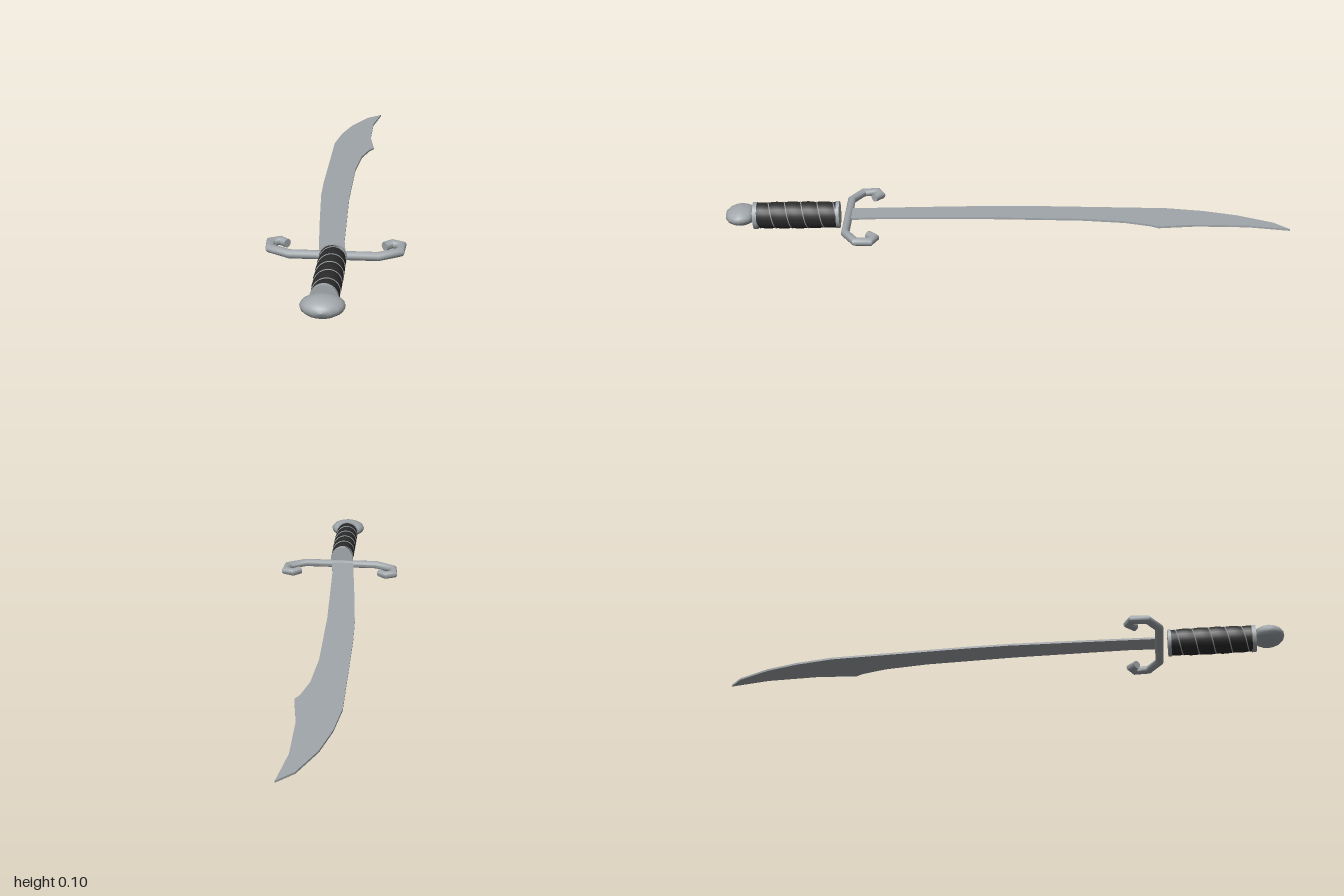
import * as THREE from 'three';
import { toCreasedNormals } from 'three/addons/utils/BufferGeometryUtils.js';

const steel = new THREE.MeshStandardMaterial({ name: 'steel', color: 0xa0a6aa });
const leather = new THREE.MeshStandardMaterial({ name: 'dark leather', color: 0x2b2b2b });

const GRIP_Y = 0.055, GRIP_START = 0.605, GRIP_END = 0.89, TURNS = 5;

function part(group, name, geometry, material) {
  const mesh = new THREE.Mesh(geometry, material);
  mesh.name = name;
  group.add(mesh);
  return mesh;
}

// Thin curved blade that drops slightly towards the tip
function bladeGeometry() {
  const outline = [
    [-0.048, 0.56], [-0.07, 0.3], [-0.09, 0.04], [-0.094, -0.1], [-0.094, -0.58],
    [-0.075, -0.71], [-0.042, -0.83], [0.016, -0.95], [0.069, -1],
    [0.045, -0.855], [0.045, -0.67], [0.065, -0.53], [0.05, -0.505],
    [0.025, -0.415], [0.011, -0.26], [0.011, 0.055], [0.026, 0.46], [0.037, 0.56],
  ];
  const shape = new THREE.Shape(outline.map(([x, z]) => new THREE.Vector2(x, z)));
  const geo = new THREE.ExtrudeGeometry(shape, { depth: 0.007, bevelEnabled: false });
  geo.rotateX(Math.PI / 2);
  const p = geo.attributes.position;
  for (let i = 0; i < p.count; i++) {
    p.setY(i, p.getY(i) + 0.039 + 0.0315 * p.getZ(i));
  }
  geo.computeVertexNormals();
  return geo;
}

// Round bar with mitred corners following a flat path of [x, z] points
function barGeometry(path, radius, y, sides = 12) {
  const pts = path.map(([x, z]) => new THREE.Vector2(x, z));
  const last = pts.length - 1;
  const position = [], index = [];
  const ring = (p, side, reach, r) => {
    for (let j = 0; j < sides; j++) {
      const a = (j / sides) * Math.PI * 2;
      const s = Math.cos(a) * reach;
      position.push(p.x + side.x * s, y + Math.sin(a) * r, p.y + side.y * s);
    }
  };
  pts.forEach((p, i) => {
    const before = pts[Math.max(i, 1)].clone().sub(pts[Math.max(i, 1) - 1]).normalize();
    const n = Math.min(i, last - 1);
    const after = pts[n + 1].clone().sub(pts[n]).normalize();
    const d = before.clone().add(after).normalize();
    const side = new THREE.Vector2(d.y, -d.x);
    if (i === 0) ring(p, side, 0, 0);
    ring(p, side, radius / d.dot(after), radius);
    if (i === last) ring(p, side, 0, 0);
  });
  for (let i = 0; i < last + 2; i++) {
    for (let j = 0; j < sides; j++) {
      const k = (j + 1) % sides;
      const a = i * sides + j, b = i * sides + k;
      index.push(a, b, a + sides, b, b + sides, a + sides);
    }
  }
  const geo = new THREE.BufferGeometry();
  geo.setAttribute('position', new THREE.Float32BufferAttribute(position, 3));
  geo.setIndex(index);
  return toCreasedNormals(geo, 0.9);
}

// Oval grip with a spiral of overlapping leather
function gripGeometry() {
  const length = GRIP_END - GRIP_START;
  const geo = new THREE.CylinderGeometry(1, 1, length, 24, 50, true);
  const p = geo.attributes.position;
  for (let i = 0; i < p.count; i++) {
    const t = p.getY(i) / length + 0.5;
    const turn = Math.atan2(p.getZ(i), p.getX(i)) / (Math.PI * 2);
    const phase = (t * TURNS + turn + 2) % 1;
    const r = 0.94 + 0.06 * Math.sin(phase * Math.PI) + 0.05 * Math.sin(t * Math.PI);
    p.setX(i, p.getX(i) * r * 0.043);
    p.setZ(i, p.getZ(i) * r * 0.047);
  }
  geo.rotateX(Math.PI / 2);
  geo.translate(0, GRIP_Y, (GRIP_START + GRIP_END) / 2);
  geo.computeVertexNormals();
  return geo;
}

// Wire lying in the groove of the leather spiral
function wireGeometry() {
  const points = [];
  for (let i = 0; i <= 120; i++) {
    const t = i / 120;
    const a = t * TURNS * Math.PI * 2;
    const r = 0.95 + 0.05 * Math.sin(t * Math.PI);
    points.push(new THREE.Vector3(
      Math.cos(a) * r * 0.043,
      GRIP_Y + Math.sin(a) * r * 0.047,
      GRIP_START + t * (GRIP_END - GRIP_START)));
  }
  return new THREE.TubeGeometry(new THREE.CatmullRomCurve3(points), 180, 0.002, 5);
}

// Oval collar closing one end of the grip
function collarGeometry(z, depth, rx, ry) {
  const geo = new THREE.CylinderGeometry(1, 1, depth, 24);
  geo.rotateX(Math.PI / 2);
  geo.scale(rx, ry, 1);
  geo.translate(0, GRIP_Y, z);
  return geo;
}

// Flattened egg-shaped pommel
function pommelGeometry() {
  const profile = [[0, 0.895], [0.04, 0.898], [0.054, 0.912], [0.064, 0.928],
    [0.067, 0.945], [0.063, 0.963], [0.05, 0.982], [0.028, 0.995], [0, 1]];
  const geo = new THREE.LatheGeometry(profile.map(([r, z]) => new THREE.Vector2(r, z)), 20);
  geo.rotateX(Math.PI / 2);
  geo.scale(1, 0.485, 1);
  geo.translate(0, 0.06, 0);
  return geo;
}

export function createModel() {
  const sword = new THREE.Group();
  sword.name = 'curvedSword';

  part(sword, 'blade', bladeGeometry(), steel);

  // Cross guard: one half mirrored, with hooked ends
  const half = [[0.14, 0.567], [0.207, 0.528], [0.211, 0.478], [0.181, 0.464], [0.156, 0.486]];
  const path = [...half.map(([x, z]) => [-x, z]).reverse(), ...half];
  part(sword, 'crossGuard', barGeometry(path, 0.0145, 0.048), steel);

  part(sword, 'grip', gripGeometry(), leather);
  part(sword, 'gripWire', wireGeometry(), steel);
  part(sword, 'frontCollar', collarGeometry(0.603, 0.012, 0.044, 0.049), steel);
  part(sword, 'rearCollar', collarGeometry(0.894, 0.014, 0.044, 0.049), steel);
  part(sword, 'pommel', pommelGeometry(), steel);

  return sword;
}
